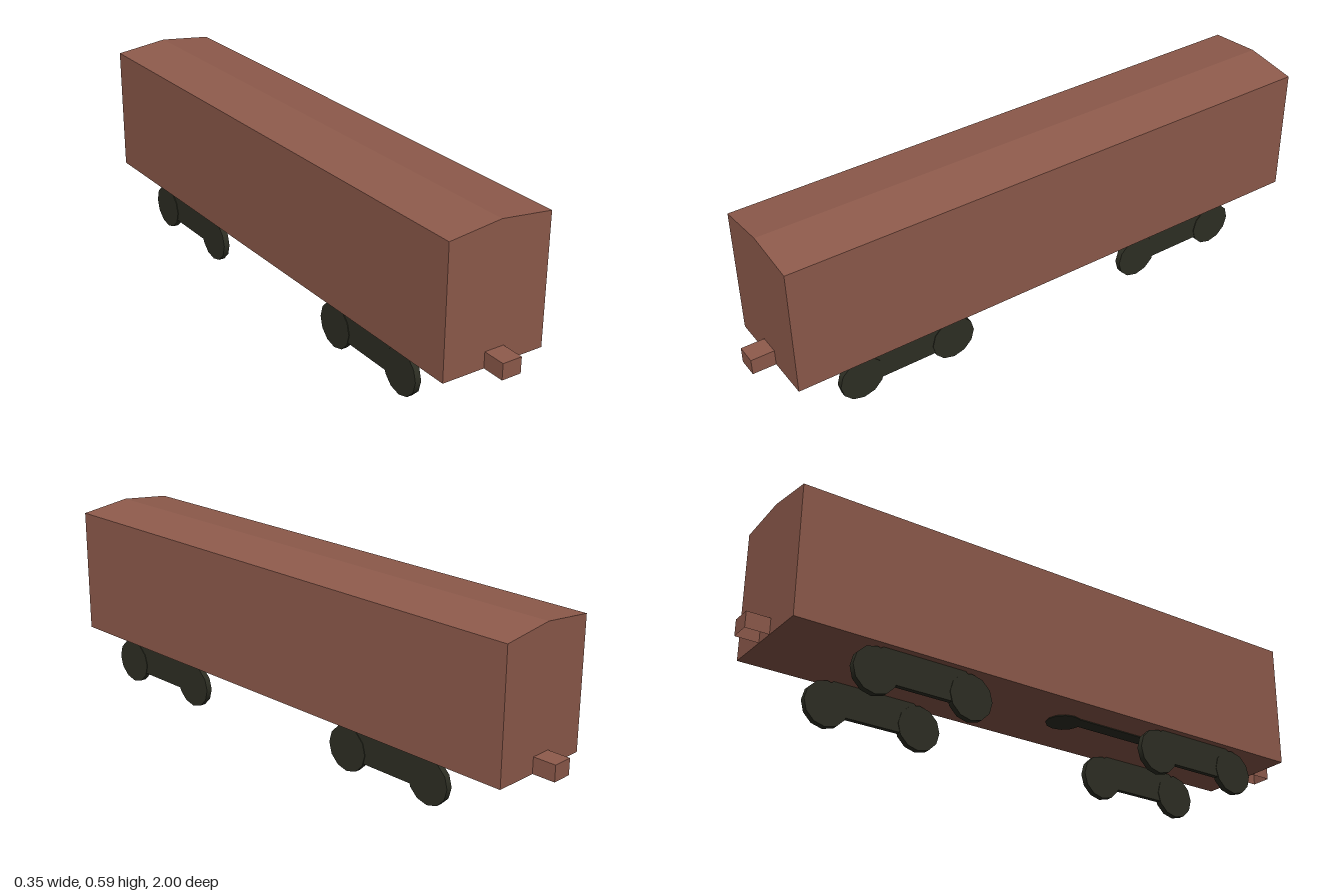
import * as THREE from 'three';

export function createModel() {
  const model = new THREE.Group();
  const brown = new THREE.MeshStandardMaterial({ color: 0x8f5b4c });
  brown.name = 'boxcar brown';
  brown.side = THREE.DoubleSide;
  const dark = new THREE.MeshStandardMaterial({ color: 0x2e2f24 });
  dark.name = 'dark iron';

  const add = (parent, name, geometry, material, x = 0, y = 0, z = 0) => {
    const mesh = new THREE.Mesh(geometry, material);
    mesh.name = name;
    mesh.position.set(x, y, z);
    parent.add(mesh);
    return mesh;
  };
  const polygon = (points) => new THREE.Shape(points.map(([x, y]) => new THREE.Vector2(x, y)));
  const extrude = (shape, depth) => {
    const g = new THREE.ExtrudeGeometry(shape, { depth, bevelEnabled: false, curveSegments: 12 });
    return g.translate(0, 0, -depth / 2);
  };

  // Body with a shallow gabled roof
  const bodyShape = polygon([[-0.176, 0.152], [0.176, 0.152], [0.176, 0.572], [0, 0.592], [-0.176, 0.572]]);
  add(model, 'body', extrude(bodyShape, 1.85), brown);

  // Couplers: small housings, open underneath and where they meet the body
  for (const side of [1, -1]) {
    const coupler = new THREE.Group();
    coupler.name = side > 0 ? 'frontCoupler' : 'backCoupler';
    const top = add(coupler, 'couplerTop', new THREE.PlaneGeometry(0.066, 0.075), brown, 0, 0.204, 0.9625);
    top.rotation.x = -Math.PI / 2;
    add(coupler, 'couplerEnd', new THREE.PlaneGeometry(0.066, 0.052), brown, 0, 0.178, 1);
    for (const s of [1, -1]) {
      const cheek = add(coupler, 'couplerCheek', new THREE.PlaneGeometry(0.075, 0.052), brown, s * 0.033, 0.178, 0.9625);
      cheek.rotation.y = s * Math.PI / 2;
    }
    if (side < 0) coupler.rotation.y = Math.PI;
    model.add(coupler);
  }

  // Bogie sides: two wheels joined by a frame, on both sides of the car
  const wheelGeometry = new THREE.CylinderGeometry(0.074, 0.074, 0.02, 12).rotateZ(Math.PI / 2);
  const frameShape = polygon([
    [-0.14, 0.06], [-0.105, 0.045], [0.105, 0.045], [0.14, 0.06],
    [0.16, 0.135], [0.14, 0.152], [-0.14, 0.152], [-0.16, 0.135],
  ]);
  const frameGeometry = extrude(frameShape, 0.016).rotateY(Math.PI / 2);
  for (const [name, z] of [['frontBogie', 0.55], ['backBogie', -0.49]]) {
    const bogie = new THREE.Group();
    bogie.name = name;
    bogie.position.z = z;
    for (const x of [0.145, -0.145]) {
      add(bogie, 'bogieFrame', frameGeometry, dark, x);
      for (const dz of [0.16, -0.16]) add(bogie, 'wheel', wheelGeometry, dark, x, 0.074, dz);
    }
    model.add(bogie);
  }

  // Flat brake gear under the floor: round ends joined by a bar
  const disc = new THREE.CylinderGeometry(0.058, 0.058, 0.006, 12);
  add(model, 'brakeDisc', disc, dark, -0.02, 0.152, 0.11);
  add(model, 'brakeDisc', disc, dark, 0, 0.152, 0.58);
  add(model, 'brakeBar', new THREE.BoxGeometry(0.05, 0.006, 0.45), dark, -0.045, 0.152, 0.35);

  return model;
}
